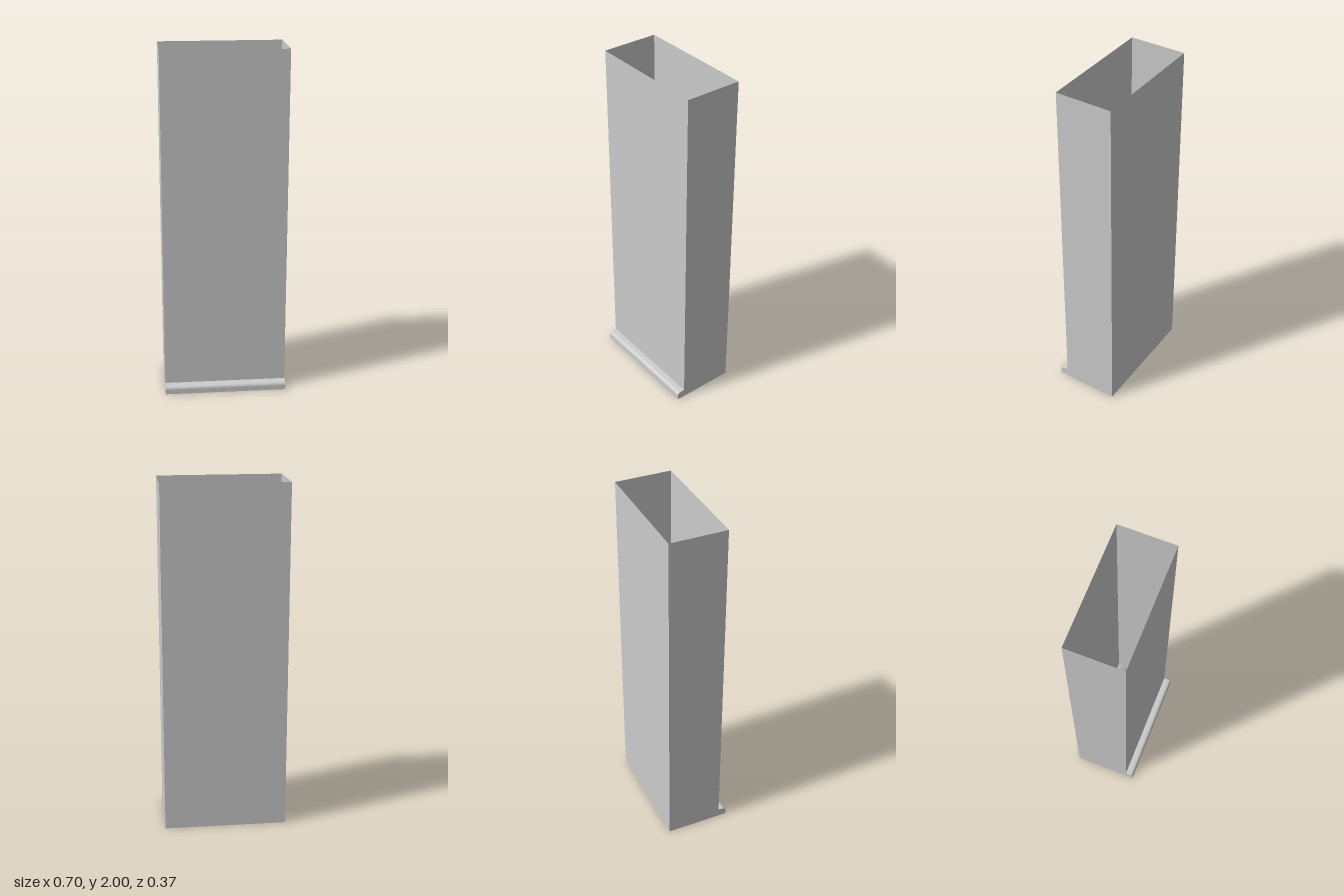
import * as THREE from 'three';

const WIDTH = 0.705, HEIGHT = 2, FRONT = 0.14, BACK = -0.187, LIP = 0.187;

export function createModel() {
  const group = new THREE.Group();
  const material = new THREE.MeshStandardMaterial({ color: 0xcccccc, side: THREE.DoubleSide });
  const depth = FRONT - BACK, midZ = (FRONT + BACK) / 2;

  // Thin panels forming a sleeve open at the top and bottom
  const addPanel = (name, width, x, z, turn) => {
    const panel = new THREE.Mesh(new THREE.PlaneGeometry(width, HEIGHT), material);
    panel.name = name;
    panel.position.set(x, HEIGHT / 2, z);
    panel.rotation.y = turn;
    group.add(panel);
  };
  addPanel('frontPanel', WIDTH, 0, FRONT, 0);
  addPanel('backPanel', WIDTH, 0, BACK, Math.PI);
  addPanel('leftPanel', depth, WIDTH / 2, midZ, Math.PI / 2);
  addPanel('rightPanel', depth, -WIDTH / 2, midZ, -Math.PI / 2);

  // Round-topped skirting strip along the foot of the front
  const profile = new THREE.Shape();
  profile.moveTo(0, 0);
  profile.lineTo(LIP - FRONT, 0);
  profile.lineTo(LIP - FRONT, 0.028);
  profile.quadraticCurveTo(LIP - FRONT - 0.002, 0.046, 0.026, 0.048);
  profile.lineTo(0, 0.05);
  profile.closePath();
  const strip = new THREE.ExtrudeGeometry(profile, { depth: WIDTH, bevelEnabled: false, curveSegments: 6 });
  strip.translate(0, 0, -WIDTH / 2);
  strip.rotateY(-Math.PI / 2);
  const skirting = new THREE.Mesh(strip, material);
  skirting.name = 'skirting';
  skirting.position.z = FRONT;
  group.add(skirting);

  return group;
}
